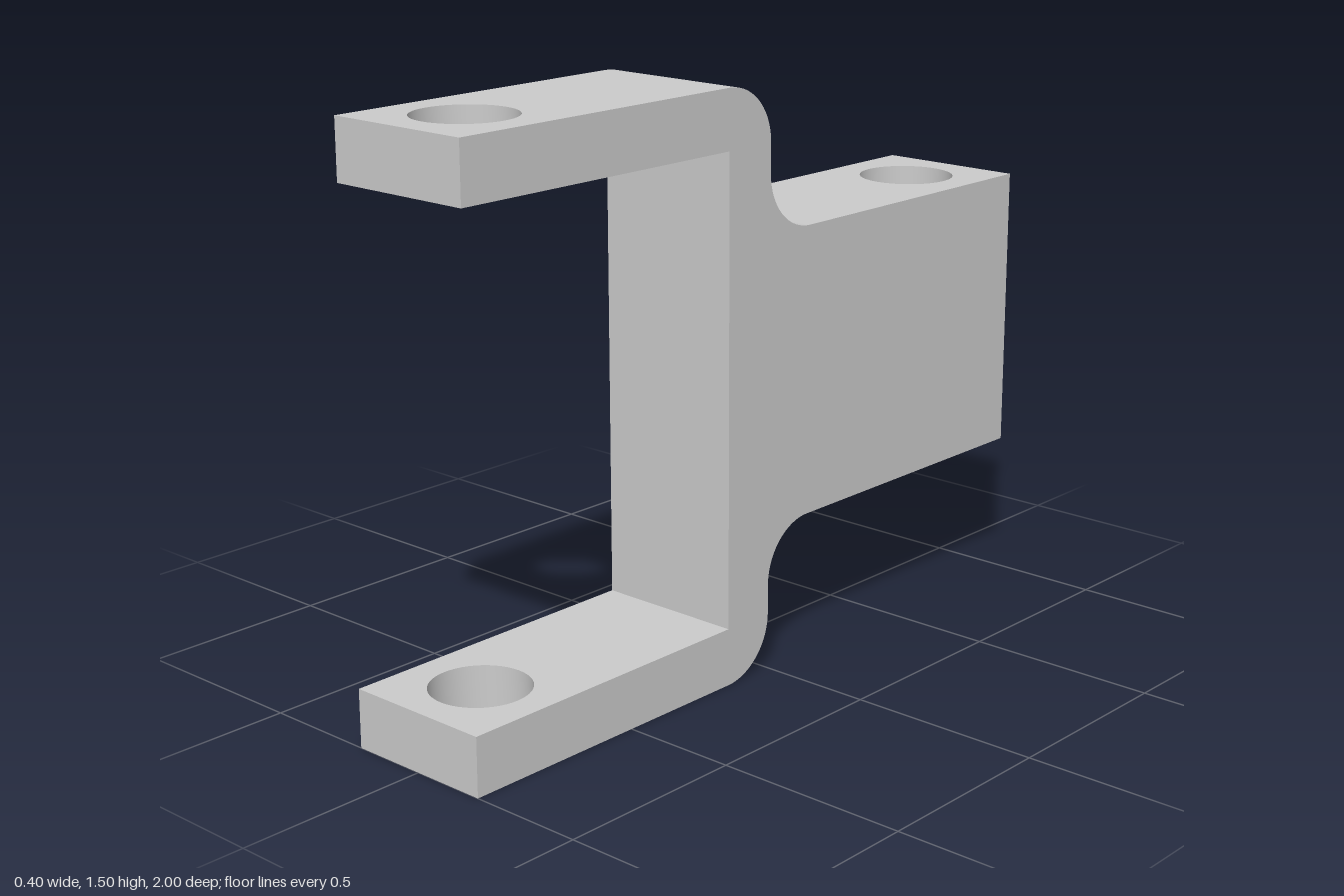
import * as THREE from 'three';
import { toCreasedNormals } from 'three/addons/utils/BufferGeometryUtils.js';

const W = 0.4;      // width
const T = 0.15;     // arm thickness and bend radius
const H = 1.5;      // total height
const LOW = 0.375;  // underside of the tail block
const HOLE = 0.125; // bolt hole radius

export function createModel() {
  const group = new THREE.Group();
  const material = new THREE.MeshStandardMaterial({ color: 0xcccccc });

  function addPart(name, shape, depth, place) {
    let geo = new THREE.ExtrudeGeometry(shape, { depth, bevelEnabled: false, curveSegments: 24 });
    place(geo);
    geo = toCreasedNormals(geo, 0.5);
    const mesh = new THREE.Mesh(geo, material);
    mesh.name = name;
    group.add(mesh);
  }

  // Flat bar from z0 to z1 with a vertical bolt hole
  function addBar(name, z0, z1, holeZ, y, height) {
    const s = new THREE.Shape();
    s.moveTo(-W / 2, -z1);
    s.lineTo(W / 2, -z1);
    s.lineTo(W / 2, -z0);
    s.lineTo(-W / 2, -z0);
    s.closePath();
    s.holes.push(new THREE.Path().absarc(0, -holeZ, HOLE, 0, Math.PI * 2, true));
    addPart(name, s, height, g => g.rotateX(-Math.PI / 2).translate(0, y, 0));
  }

  addBar('lowerArm', T, 1, 0.8, 0, T);
  addBar('upperArm', T, 1, 0.8, H - T, T);
  addBar('tailBlock', -1, -T, -0.8, LOW, H - 2 * LOW);

  // Upright web: rounded outer corners, concave fillets into the tail
  const q = Math.PI / 2;
  const web = new THREE.Shape();
  web.moveTo(-T, 0);
  web.absarc(-T, T, T, -q, 0, false);
  web.absarc(T, LOW - T, T, 2 * q, q, true);
  web.lineTo(T, H - LOW);
  web.absarc(T, H - LOW + T, T, -q, -2 * q, true);
  web.absarc(-T, H - T, T, 0, q, false);
  web.closePath();
  addPart('web', web, W, g => g.rotateY(q).translate(-W / 2, 0, 0));

  return group;
}
